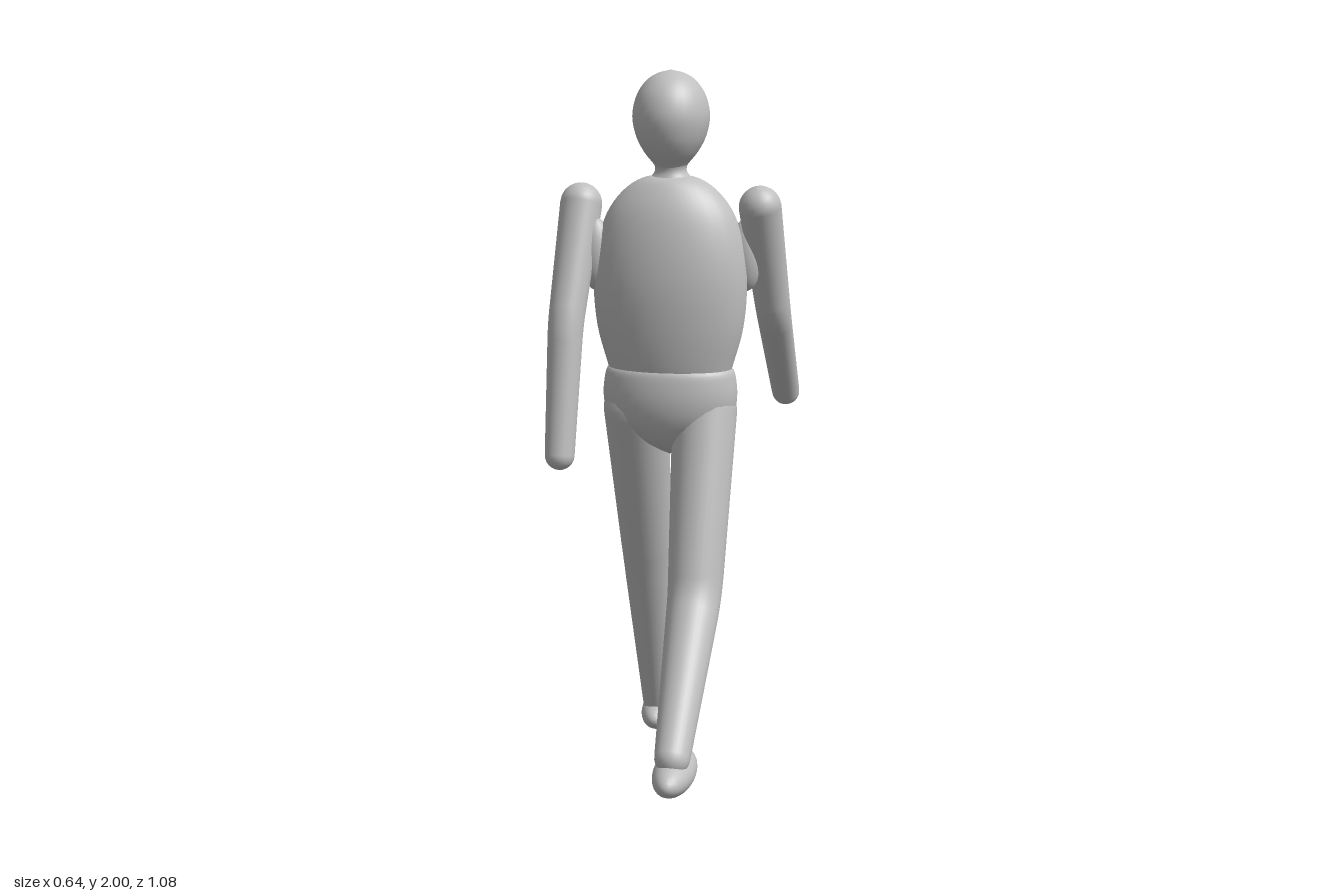
import * as THREE from 'three';

const skin = new THREE.MeshStandardMaterial({ color: 0xc0c0c0 });
skin.name = 'plain grey';
const SEG = 32;
const V = (x, y, z) => new THREE.Vector3(x, y, z);

// Skin over a list of elliptical rings {c: centre, t: direction, rx, rz}
function loft(name, rings) {
  const pos = [], idx = [];
  rings.forEach(({ c, t, rx, rz }, i) => {
    const n = V(1, 0, 0).addScaledVector(t, -t.x).normalize();
    const b = t.clone().cross(n);
    for (let j = 0; j < SEG; j++) {
      const a = (j / SEG) * Math.PI * 2;
      const p = c.clone().addScaledVector(n, rx * Math.cos(a)).addScaledVector(b, rz * Math.sin(a));
      pos.push(p.x, p.y, p.z);
      if (i === 0) continue;
      const k = (j + 1) % SEG, lo = (i - 1) * SEG, hi = i * SEG;
      idx.push(lo + j, lo + k, hi + k, lo + j, hi + k, hi + j);
    }
  });
  const g = new THREE.BufferGeometry();
  g.setAttribute('position', new THREE.Float32BufferAttribute(pos, 3));
  g.setIndex(idx);
  g.computeVertexNormals();
  const m = new THREE.Mesh(g, skin);
  m.name = name;
  return m;
}

// Upright body part: smooth curve through rows of [y, half width, half depth, z centre]
function upright(name, rows) {
  const size = new THREE.CatmullRomCurve3(rows.map(r => V(r[0], r[1], r[2])), false, 'centripetal');
  const mid = new THREE.CatmullRomCurve3(rows.map(r => V(r[0], r[3], 0)), false, 'centripetal');
  const steps = rows.length * 4, rings = [];
  for (let i = 0; i <= steps; i++) {
    const s = size.getPoint(i / steps), z = mid.getPoint(i / steps).y;
    rings.push({ c: V(0, s.x, z), t: V(0, 1, 0), rx: Math.max(s.y, 0.001), rz: Math.max(s.z, 0.001) });
  }
  return loft(name, rings);
}

// Limb with round ends and one softened bend
function limb(name, [a, b, c], [ra, rb, rc]) {
  const rings = [];
  const t1 = b.clone().sub(a).normalize(), t2 = c.clone().sub(b).normalize();
  const add = (p, t, r) => rings.push({ c: p, t, rx: r, rz: r });
  for (let i = 0; i < 6; i++) {
    const q = (i / 6) * Math.PI / 2;
    add(a.clone().addScaledVector(t1, -ra * Math.cos(q)), t1, Math.max(ra * Math.sin(q), 0.001));
  }
  add(a, t1, ra);
  const p = a.clone().lerp(b, 0.88), r = b.clone().lerp(c, 0.12);
  const bend = new THREE.QuadraticBezierCurve3(p, b, r);
  const r1 = ra + (rb - ra) * 0.88, r2 = rb + (rc - rb) * 0.12;
  for (let i = 0; i <= 6; i++) add(bend.getPoint(i / 6), bend.getTangent(i / 6), r1 + (r2 - r1) * i / 6);
  for (let i = 0; i <= 6; i++) {
    const q = (i / 6) * Math.PI / 2;
    add(c.clone().addScaledVector(t2, rc * Math.sin(q)), t2, Math.max(rc * Math.cos(q), 0.001));
  }
  return loft(name, rings);
}

function ellipsoid(name, [x, y, z], [rx, ry, rz]) {
  const m = new THREE.Mesh(new THREE.SphereGeometry(1, 32, 20), skin);
  m.name = name;
  m.position.set(x, y, z);
  m.scale.set(rx, ry, rz);
  return m;
}

export function createModel() {
  const model = new THREE.Group();
  model.name = 'walkingFigure';

  // Head, neck, chest and hips
  model.add(
    upright('head', [
      [1.72, 0.03, 0.035, -0.045], [1.745, 0.045, 0.055, -0.045], [1.78, 0.073, 0.088, -0.046],
      [1.82, 0.094, 0.11, -0.047], [1.875, 0.105, 0.12, -0.047], [1.93, 0.094, 0.107, -0.047],
      [1.97, 0.068, 0.077, -0.047], [1.99, 0.038, 0.043, -0.047], [2.0, 0, 0, -0.047]]),
    upright('neck', [
      [1.66, 0.09, 0.07, -0.04], [1.70, 0.066, 0.056, -0.042], [1.73, 0.043, 0.048, -0.044],
      [1.76, 0.05, 0.058, -0.045]]),
    upright('torso', [
      [1.16, 0.165, 0.1, -0.035], [1.2, 0.177, 0.111, -0.035], [1.3, 0.204, 0.127, -0.035],
      [1.42, 0.214, 0.134, -0.035], [1.53, 0.203, 0.126, -0.036], [1.62, 0.173, 0.107, -0.037],
      [1.68, 0.125, 0.08, -0.038], [1.71, 0.075, 0.056, -0.04], [1.72, 0, 0, -0.04]]),
    upright('pelvis', [
      [0.94, 0, 0, -0.035], [0.96, 0.04, 0.045, -0.035], [1.0, 0.115, 0.085, -0.035],
      [1.05, 0.175, 0.109, -0.035], [1.1, 0.188, 0.119, -0.036], [1.15, 0.186, 0.118, -0.036],
      [1.185, 0.176, 0.11, -0.035], [1.2, 0.14, 0.09, -0.035]]));

  // Legs: left trails towards +z, right strides towards -z
  model.add(
    limb('leftLeg', [V(0.098, 1.07, -0.035), V(0.1, 0.575, 0.122), V(0.1, 0.225, 0.44)], [0.09, 0.075, 0.048]),
    limb('rightLeg', [V(-0.098, 1.07, -0.035), V(-0.1, 0.575, -0.215), V(-0.1, 0.1, -0.35)], [0.09, 0.073, 0.046]),
    ellipsoid('leftFoot', [0.1, 0.172, 0.405], [0.056, 0.052, 0.137]),
    ellipsoid('rightFoot', [-0.1, 0.054, -0.405], [0.056, 0.052, 0.137]));

  // Arms: left swings towards -z, right towards +z
  model.add(
    limb('leftArm', [V(0.248, 1.635, -0.035), V(0.27, 1.325, -0.162), V(0.273, 1.06, -0.4)], [0.058, 0.048, 0.04]),
    limb('rightArm', [V(-0.25, 1.635, -0.035), V(-0.27, 1.315, 0.075), V(-0.275, 0.962, 0.138)], [0.058, 0.049, 0.041]));

  // Joins between chest and upper arms
  for (const [side, z] of [[1, -0.07], [-1, -0.015]]) {
    model.add(ellipsoid(side > 0 ? 'leftArmJoin' : 'rightArmJoin', [side * 0.205, 1.5, z], [0.045, 0.1, 0.042]));
  }
  return model;
}
